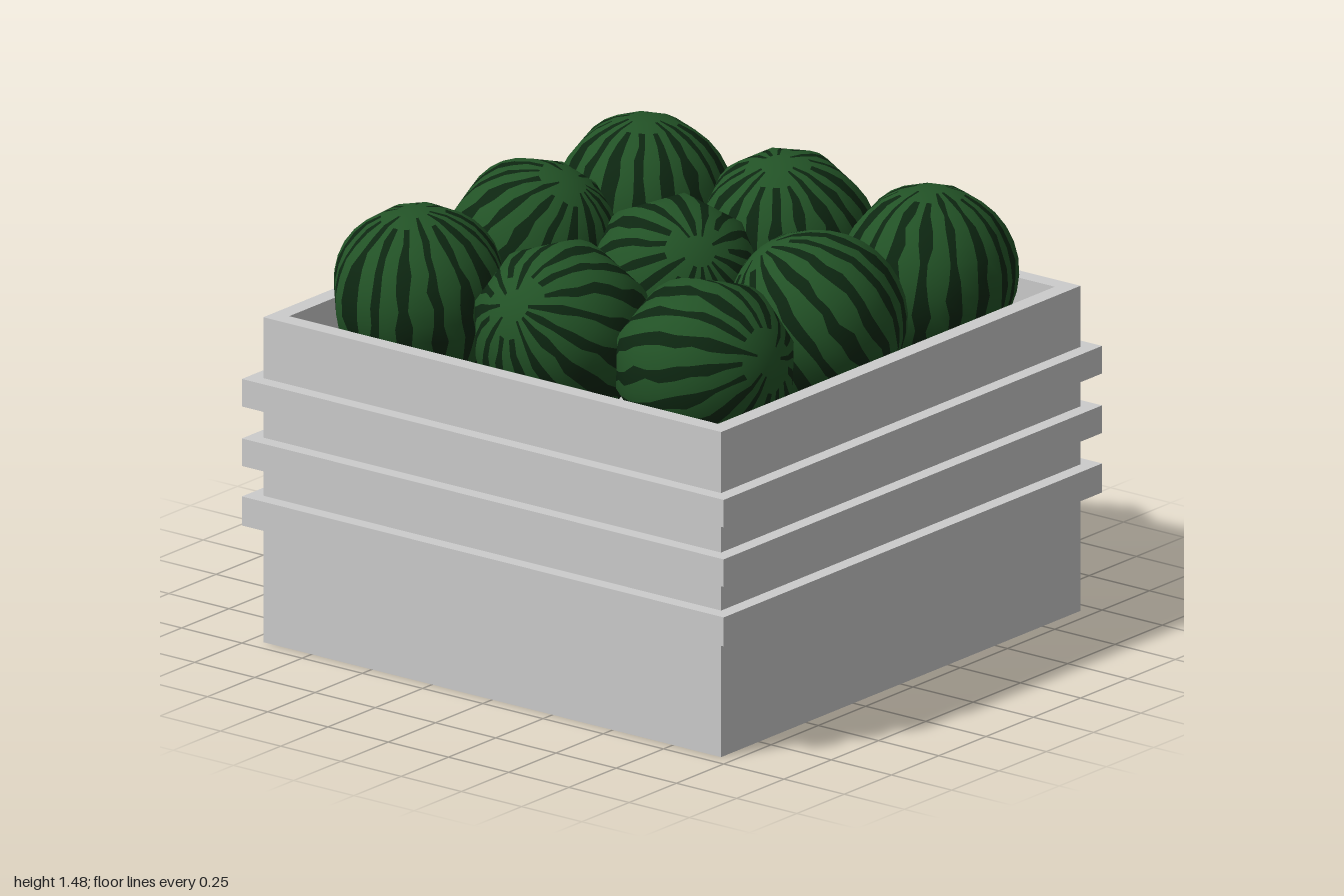
import * as THREE from 'three';

const crateGrey = new THREE.MeshStandardMaterial({ name: 'crateGrey', color: 0xcccccc });
const rindGreen = new THREE.MeshStandardMaterial({ name: 'rindGreen', color: 0x225226 });
const stripeGreen = new THREE.MeshStandardMaterial({ name: 'stripeGreen', color: 0x0d2611 });

// Small seeded generator for irregular stripes
function seeded(seed) {
  let s = seed * 7919 + 17;
  return () => ((s = (s * 16807) % 2147483647) / 2147483647);
}

// Square frame with a square opening, standing from y0 to y1
function squareFrame(name, outer, inner, y0, y1) {
  const square = (Type, h) => {
    const p = new Type();
    p.moveTo(-h, -h).lineTo(h, -h).lineTo(h, h).lineTo(-h, h).closePath();
    return p;
  };
  // Path.moveTo returns this, so the same helper serves outline and hole
  const shape = square(THREE.Shape, outer);
  shape.holes.push(square(THREE.Path, inner));
  const geo = new THREE.ExtrudeGeometry(shape, { depth: y1 - y0, bevelEnabled: false });
  geo.rotateX(-Math.PI / 2).translate(0, y0, 0);
  const mesh = new THREE.Mesh(geo, crateGrey);
  mesh.name = name;
  return mesh;
}

// Eight-sided melon: every sector holds two wavering dark stripes
function melonGeometry(seed) {
  const R = 0.3, SIDES = 8, ROWS = 16;
  const rand = seeded(seed);
  const cuts = [0, 0.16, 0.36, 0.64, 0.85, 1];
  const pos = [], nor = [], green = [], dark = [];
  for (let s = 0; s < SIDES; s++) {
    const a0 = (s / SIDES) * Math.PI * 2, a1 = ((s + 1) / SIDES) * Math.PI * 2;
    const ends = [Math.floor(rand() * 2) + 1, Math.floor(rand() * 2) + 1];
    const base = pos.length / 3;
    for (let r = 0; r <= ROWS; r++) {
      const phi = (r / ROWS) * Math.PI;
      const y = Math.cos(phi), w = Math.sin(phi);
      cuts.forEach((c, k) => {
        const t = k === 0 || k === 5 ? c : c + (rand() - 0.5) * 0.11;
        // Points lie on the flat chord between the sector's corners
        const x = THREE.MathUtils.lerp(Math.cos(a0), Math.cos(a1), t);
        const z = THREE.MathUtils.lerp(Math.sin(a0), Math.sin(a1), t);
        pos.push(x * w * R, y * R, z * w * R);
        const n = new THREE.Vector3(x * w, y, z * w).normalize();
        nor.push(n.x, n.y, n.z);
      });
    }
    for (let r = 0; r < ROWS; r++) {
      for (let k = 0; k < 5; k++) {
        const a = base + r * 6 + k, b = a + 6;
        const e = ends[k === 1 ? 0 : 1];
        const striped = k % 2 === 1 && r >= e && r < ROWS - e;
        const list = striped ? dark : green;
        if (r > 0) list.push(a, a + 1, b);
        if (r < ROWS - 1) list.push(a + 1, b + 1, b);
        else if (r === 0) list.push(a + 1, b + 1, b);
      }
    }
  }
  const geo = new THREE.BufferGeometry();
  geo.setAttribute('position', new THREE.Float32BufferAttribute(pos, 3));
  geo.setAttribute('normal', new THREE.Float32BufferAttribute(nor, 3));
  geo.setIndex([...green, ...dark]);
  geo.addGroup(0, green.length, 0);
  geo.addGroup(green.length, dark.length, 1);
  return geo;
}

export function createModel() {
  const model = new THREE.Group();
  model.name = 'melonCrate';

  // Crate: walls, base, inner floor and three ribs
  const crate = new THREE.Group();
  crate.name = 'crate';
  crate.add(squareFrame('crateWalls', 0.95, 0.89, 0, 1.12));
  const floor = new THREE.Mesh(new THREE.BoxGeometry(1.78, 0.88, 1.78), crateGrey);
  floor.name = 'crateFloor';
  floor.position.y = 0.44;
  crate.add(floor);
  [[0.405, 0.505], [0.61, 0.705], [0.815, 0.91]].forEach(([y0, y1], i) =>
    crate.add(squareFrame('crateRib' + (i + 1), 1, 0.95, y0, y1)));
  model.add(crate);

  // Melons in three rows, each with its own stem direction
  const axes = [
    [0.03, 1, 0], [0.1, 0.95, 0.27], [0.02, 1, -0.04],
    [0.5, 0.86, -0.08], [0.66, 0.62, 0.4], [-0.5, 0.8, 0.33],
    [0, 1, 0.12], [0, 0.5, 0.86], [0.95, 0.27, 0.07],
  ];
  const up = new THREE.Vector3(0, 1, 0);
  const melons = new THREE.Group();
  melons.name = 'melons';
  axes.forEach((axis, i) => {
    const melon = new THREE.Mesh(melonGeometry(i + 1), [rindGreen, stripeGreen]);
    melon.name = 'melon' + (i + 1);
    melon.position.set(((i % 3) - 1) * 0.592, 1.178, (Math.floor(i / 3) - 1) * 0.59 - 0.01);
    melon.quaternion.setFromUnitVectors(up, new THREE.Vector3(...axis).normalize());
    if (i === 6) melon.rotateY(0.3);
    melons.add(melon);
  });
  model.add(melons);
  return model;
}
